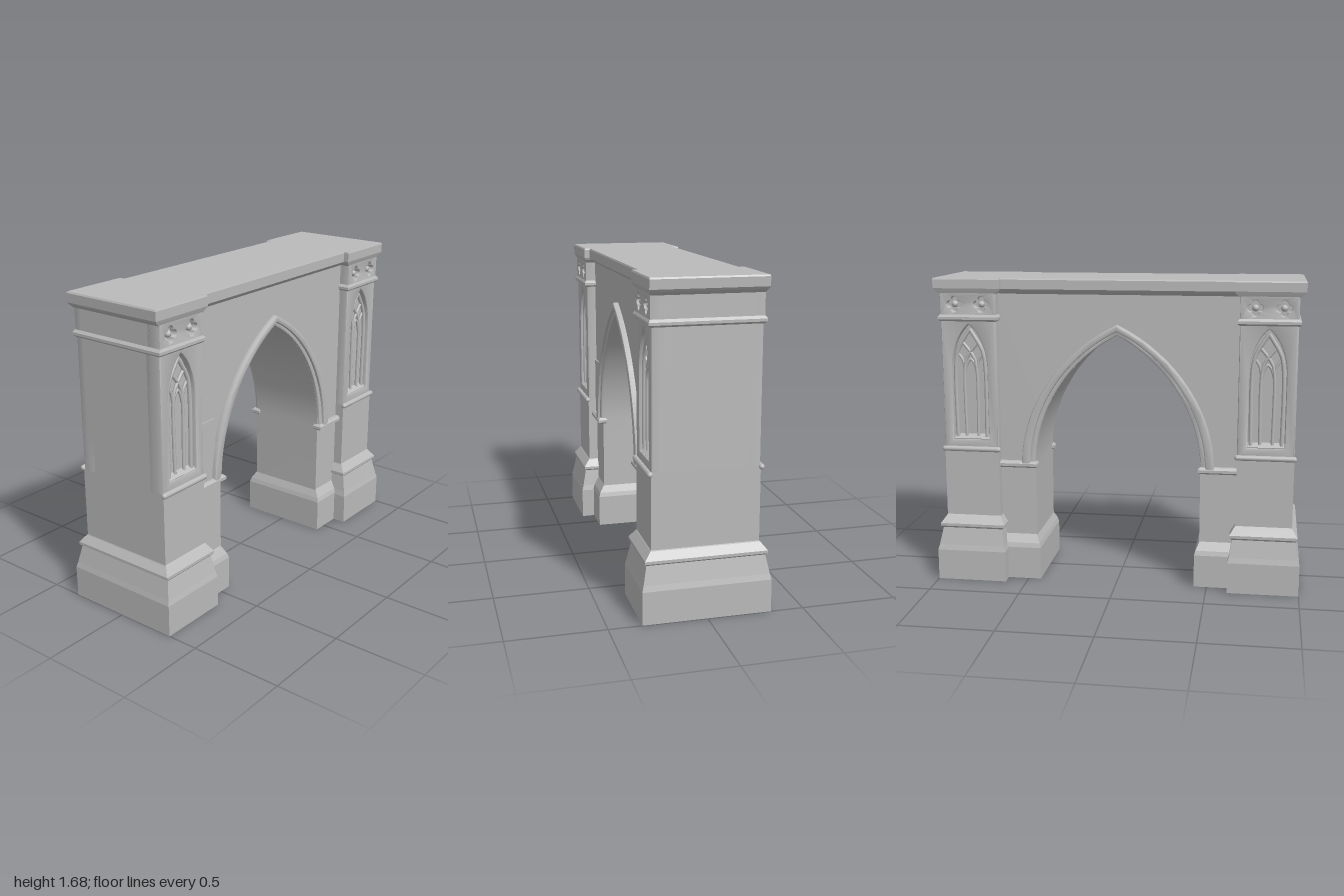
import * as THREE from 'three';
import { mergeGeometries, toCreasedNormals } from 'three/addons/utils/BufferGeometryUtils.js';

const stone = new THREE.MeshStandardMaterial({ color: 0xbababa });
stone.name = 'stone grey';

function add(parent, name, geometry) {
  const mesh = new THREE.Mesh(geometry, stone);
  mesh.name = name;
  parent.add(mesh);
  return mesh;
}

// Rectangular block with a moulded profile; each ring is [y, x0, x1, half depth]
function block(rings) {
  const p = [];
  const corners = ([y, x0, x1, z]) => [[x0, y, z], [x1, y, z], [x1, y, -z], [x0, y, -z]];
  const quad = (a, b, c, d) => p.push(...a, ...b, ...c, ...a, ...c, ...d);
  for (let i = 0; i < rings.length - 1; i++) {
    const lo = corners(rings[i]), hi = corners(rings[i + 1]);
    for (let k = 0; k < 4; k++) quad(lo[k], lo[(k + 1) % 4], hi[(k + 1) % 4], hi[k]);
  }
  const [a, b, c, d] = corners(rings[0]);
  quad(d, c, b, a);
  quad(...corners(rings[rings.length - 1]));
  const g = new THREE.BufferGeometry();
  g.setAttribute('position', new THREE.Float32BufferAttribute(p, 3));
  g.computeVertexNormals();
  return g;
}

// Extrusion between two depths with its front edge chamfered inwards
function slab(shape, z0, z1, bevel, curveSegments = 12) {
  const g = new THREE.ExtrudeGeometry(shape, {
    depth: z1 - z0 - 2 * bevel, bevelEnabled: bevel > 0, bevelThickness: bevel,
    bevelSize: bevel, bevelOffset: -bevel, bevelSegments: 2, curveSegments,
  });
  g.translate(0, 0, z0 + bevel);
  return toCreasedNormals(g, 0.6);
}

function rectangle(x0, y0, x1, y1) {
  return new THREE.Shape([[x0, y0], [x1, y0], [x1, y1], [x0, y1]].map(([x, y]) => new THREE.Vector2(x, y)));
}

// Pointed arch from the right springing over the apex to the left springing
function archOver(path, w, spring, apex) {
  const h = apex - spring;
  path.bezierCurveTo(w, spring + h * 0.41, w * 0.6, spring + h * 0.81, 0, apex);
  path.bezierCurveTo(-w * 0.6, spring + h * 0.81, -w, spring + h * 0.41, -w, spring);
}

// Round rib following a list of points
function rib(points, z, r) {
  const curve = new THREE.CatmullRomCurve3(points.map(([x, y]) => new THREE.Vector3(x, y, z)));
  return new THREE.TubeGeometry(curve, 14, r, 8, false);
}

const CX = 0.803; // pillar axis

// Tracery window, frieze and band on one face of a pillar
function pillarFace() {
  const face = new THREE.Group();
  face.name = 'pillarFace';
  const w = 0.097;

  const frame = rectangle(-0.152, 0.74, 0.152, 1.47);
  const opening = new THREE.Path();
  opening.moveTo(-w, 0.8);
  opening.lineTo(w, 0.8);
  opening.lineTo(w, 1.19);
  archOver(opening, w, 1.19, 1.43);
  opening.lineTo(-w, 0.8);
  frame.holes.push(opening);
  add(face, 'windowFrame', slab(frame, 0.18, 0.275, 0.012));

  const ribs = [];
  for (const s of [-1, 1]) {
    ribs.push(rib([[s * 0.082, 0.79], [s * 0.082, 1.2], [s * 0.068, 1.29], [0, 1.405]], 0.25, 0.011));
    ribs.push(rib([[s * 0.033, 0.79], [s * 0.033, 1.19], [s * 0.02, 1.25], [-s * 0.045, 1.335]], 0.246, 0.009));
    ribs.push(rib([[s * 0.033, 1.18], [s * 0.045, 1.235], [s * 0.068, 1.27]], 0.244, 0.008));
  }
  ribs.push(rib([[-0.033, 1.17], [-0.02, 1.215], [0, 1.24], [0.02, 1.215], [0.033, 1.17]], 0.244, 0.008));
  add(face, 'tracery', mergeGeometries(ribs));
  const sill = add(face, 'windowSill', new THREE.BoxGeometry(0.2, 0.05, 0.05));
  sill.position.set(0, 0.795, 0.235);
  sill.rotation.x = 0.6;

  // Frieze pierced by two four-lobed hollows
  const frieze = rectangle(-0.152, 1.46, 0.152, 1.615);
  for (const s of [-1, 1]) {
    const lobes = new THREE.Path();
    for (let i = 0; i <= 32; i++) {
      const t = (i / 32) * Math.PI * 2;
      const r = 0.026 + 0.016 * Math.abs(Math.cos(2 * t));
      const x = s * 0.074 + r * Math.cos(t), y = 1.54 + r * Math.sin(t);
      if (i) lobes.lineTo(x, y); else lobes.moveTo(x, y);
    }
    frieze.holes.push(lobes);
    const boss = add(face, 'friezeBoss', new THREE.SphereGeometry(0.018, 12, 8));
    boss.position.set(s * 0.074, 1.54, 0.258);
  }
  add(face, 'frieze', slab(frieze, 0.2, 0.28, 0.005));

  // Rounded string course below the window
  const band = add(face, 'stringCourse', new THREE.CapsuleGeometry(0.015, 0.3, 6, 12));
  band.rotation.z = Math.PI / 2;
  band.position.set(0, 0.745, 0.28);
  return face;
}

function pillar() {
  const g = new THREE.Group();
  g.name = 'pillar';
  add(g, 'pillarBase', block([
    [0, 0.615, 1, 0.33], [0.17, 0.615, 1, 0.33], [0.2, 0.622, 0.992, 0.322],
    [0.295, 0.637, 0.972, 0.303], [0.305, 0.622, 0.985, 0.312],
    [0.32, 0.622, 0.985, 0.312], [0.36, 0.648, 0.957, 0.28], [0.365, 0.65, 0.955, 0.275],
  ]));
  add(g, 'lowerShaft', block([[0.35, 0.651, 0.955, 0.275], [0.75, 0.651, 0.955, 0.275]]));
  add(g, 'shaftCore', block([[0.75, 0.651, 0.955, 0.238], [1.62, 0.651, 0.955, 0.238]]));
  add(g, 'upperBand', block([
    [1.448, 0.65, 0.956, 0.276], [1.458, 0.637, 0.968, 0.288],
    [1.472, 0.637, 0.968, 0.288], [1.485, 0.65, 0.956, 0.28],
  ]));
  add(g, 'pillarCap', block([
    [1.595, 0.65, 0.956, 0.278], [1.612, 0.628, 0.978, 0.285],
    [1.625, 0.622, 0.988, 0.29], [1.672, 0.622, 0.99, 0.29], [1.68, 0.625, 0.985, 0.286],
  ]));
  for (const turn of [0, Math.PI]) {
    const holder = pillarFace();
    holder.position.x = CX;
    holder.rotation.y = turn;
    g.add(holder);
  }

  // Stepped foot of the arch jamb
  add(g, 'jambBase', block([
    [0, 0.43, 0.66, 0.258], [0.18, 0.43, 0.66, 0.258],
    [0.205, 0.437, 0.66, 0.25], [0.25, 0.457, 0.66, 0.222],
  ]));
  // Small imposts where the arch springs
  for (const s of [-1, 1]) {
    const impost = add(g, 'impost', block([
      [0.638, 0.455, 0.652, 0.014], [0.648, 0.442, 0.652, 0.028],
      [0.663, 0.442, 0.652, 0.028], [0.675, 0.455, 0.652, 0.016],
    ]));
    impost.position.z = s * 0.226;
  }
  return g;
}

export function createModel() {
  const model = new THREE.Group();
  model.name = 'stoneGateway';

  // Wall with the pointed opening
  const wall = new THREE.Shape();
  wall.moveTo(0.455, 0);
  wall.lineTo(0.67, 0);
  wall.lineTo(0.67, 1.62);
  wall.lineTo(-0.67, 1.62);
  wall.lineTo(-0.67, 0);
  wall.lineTo(-0.455, 0);
  wall.lineTo(-0.455, 0.65);
  wall.bezierCurveTo(-0.455, 0.95, -0.273, 1.24, 0, 1.38);
  wall.bezierCurveTo(0.273, 1.24, 0.455, 0.95, 0.455, 0.65);
  add(model, 'archWall', slab(wall, -0.222, 0.222, 0, 24));

  // Hood moulding in two steps on both faces
  for (const turn of [0, Math.PI]) {
    const hood = new THREE.Group();
    hood.name = 'hoodMoulding';
    for (const [inner, outer, innerTop, outerTop, z] of [
      [0.456, 0.5, 1.379, 1.42, 0.237], [0.482, 0.53, 1.4, 1.437, 0.252]]) {
      const ring = new THREE.Shape();
      ring.moveTo(outer, 0.65);
      archOver(ring, outer, 0.65, outerTop);
      ring.lineTo(-inner, 0.65);
      ring.bezierCurveTo(-inner, 0.65 + (innerTop - 0.65) * 0.41, -inner * 0.6, 0.65 + (innerTop - 0.65) * 0.81, 0, innerTop);
      ring.bezierCurveTo(inner * 0.6, 0.65 + (innerTop - 0.65) * 0.81, inner, 0.65 + (innerTop - 0.65) * 0.41, inner, 0.65);
      add(hood, 'hoodStep', slab(ring, 0.2, z, 0.01, 24));
    }
    hood.rotation.y = turn;
    model.add(hood);
  }

  // Shallow raised masonry beside one springing
  add(model, 'raisedMasonry', slab(rectangle(-0.655, 0.66, -0.5, 1.0), 0.215, 0.23, 0));

  // Cornice between the pillars
  add(model, 'cornice', block([
    [1.595, -0.64, 0.64, 0.225], [1.612, -0.64, 0.64, 0.25],
    [1.622, -0.64, 0.64, 0.26], [1.672, -0.64, 0.64, 0.26], [1.68, -0.64, 0.64, 0.256],
  ]));

  const left = pillar();
  const right = pillar();
  right.rotation.y = Math.PI;
  model.add(left, right);
  return model;
}
